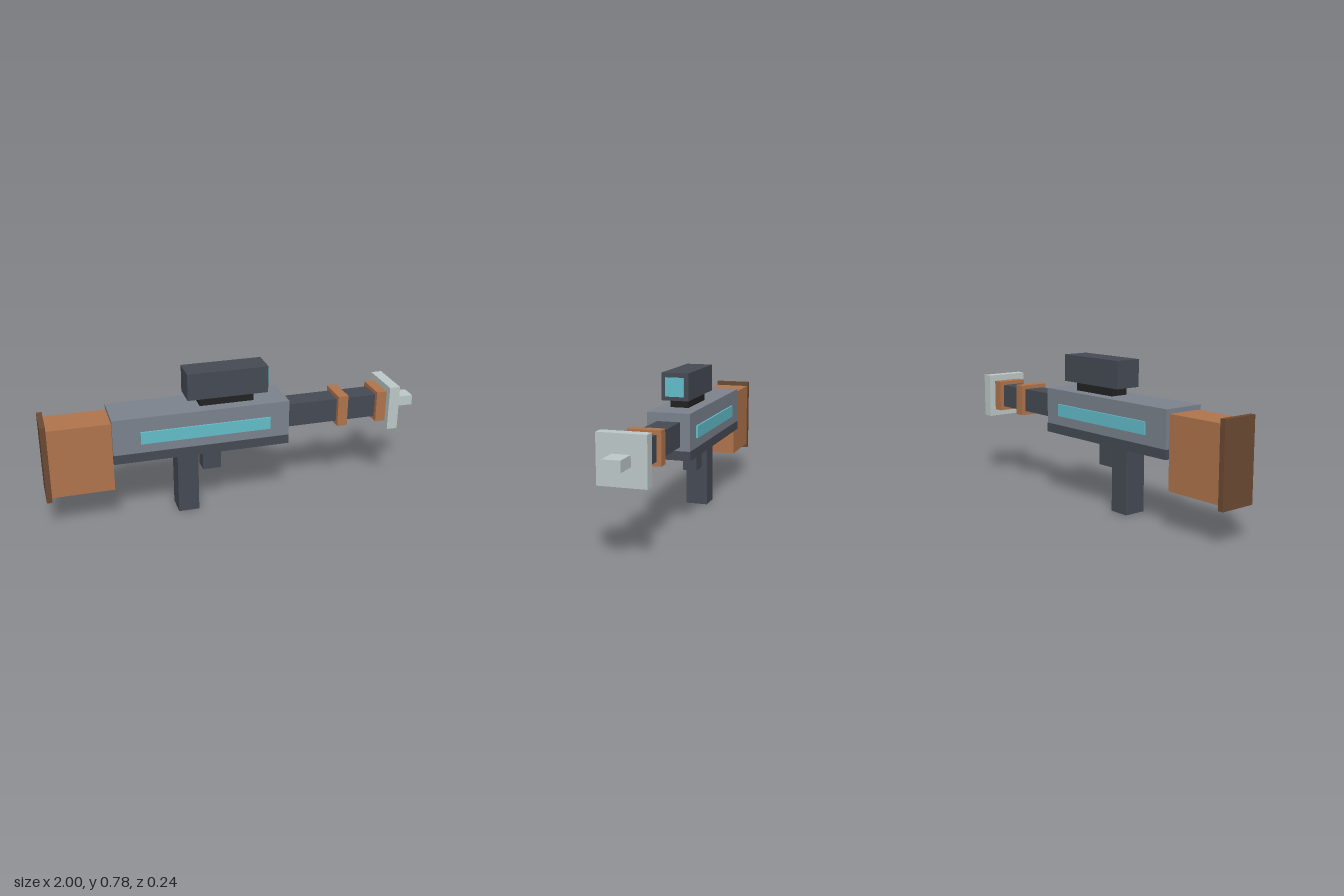
import * as THREE from 'three';

const paint = (name, color) => {
  const m = new THREE.MeshStandardMaterial({ color });
  m.name = name;
  return m;
};

export function createModel() {
  const model = new THREE.Group();
  model.name = 'blockRifle';

  const grey = paint('steelGrey', 0x7b838e);
  const dark = paint('darkGrey', 0x454a54);
  const black = paint('black', 0x222222);
  const copper = paint('copperBrown', 0xb0744c);
  const brown = paint('darkBrown', 0x6b4a33);
  const silver = paint('paleSilver', 0xbdc8c8);
  const cyan = paint('glowCyan', 0x62bdca);

  // Box from x and y ranges, a half depth and an optional z centre
  const box = (name, material, x0, x1, y0, y1, halfZ, z = 0) => {
    const mesh = new THREE.Mesh(new THREE.BoxGeometry(x1 - x0, y1 - y0, halfZ * 2), material);
    mesh.position.set((x0 + x1) / 2, (y0 + y1) / 2, z);
    mesh.name = name;
    model.add(mesh);
  };

  // Stock
  box('buttPlate', brown, -1, -0.972, 0.176, 0.59, 0.098);
  box('stock', copper, -0.972, -0.655, 0.2, 0.567, 0.093);

  // Receiver with its lower rail and a light strip on each side
  box('receiver', grey, -0.655, 0.265, 0.4, 0.59, 0.112);
  box('lowerRail', dark, -0.655, 0.265, 0.352, 0.4, 0.115);
  for (const side of [-1, 1]) {
    box(side > 0 ? 'leftLightStrip' : 'rightLightStrip', cyan, -0.515, 0.162, 0.45, 0.514, 0.0048, side * 0.1165);
  }

  // Grips
  box('rearGrip', dark, -0.32, -0.21, 0, 0.352, 0.06);
  box('triggerBlock', dark, -0.18, -0.083, 0.22, 0.352, 0.038);

  // Barrel with bands and muzzle
  box('barrel', dark, 0.265, 0.825, 0.42, 0.546, 0.06);
  [[0.55, 0.605], [0.77, 0.825]].forEach(([a, b], i) =>
    box('barrelBand' + (i + 1), copper, a, b, 0.398, 0.567, 0.084));
  box('muzzlePlate', silver, 0.825, 0.883, 0.361, 0.601, 0.12);
  box('muzzleTip', silver, 0.883, 1, 0.455, 0.509, 0.044);

  // Scope
  box('scopeMount', black, -0.195, 0.09, 0.59, 0.635, 0.049);
  box('scope', dark, -0.262, 0.162, 0.635, 0.776, 0.071);
  box('scopeLens', cyan, 0.162, 0.1715, 0.656, 0.753, 0.049);

  return model;
}
